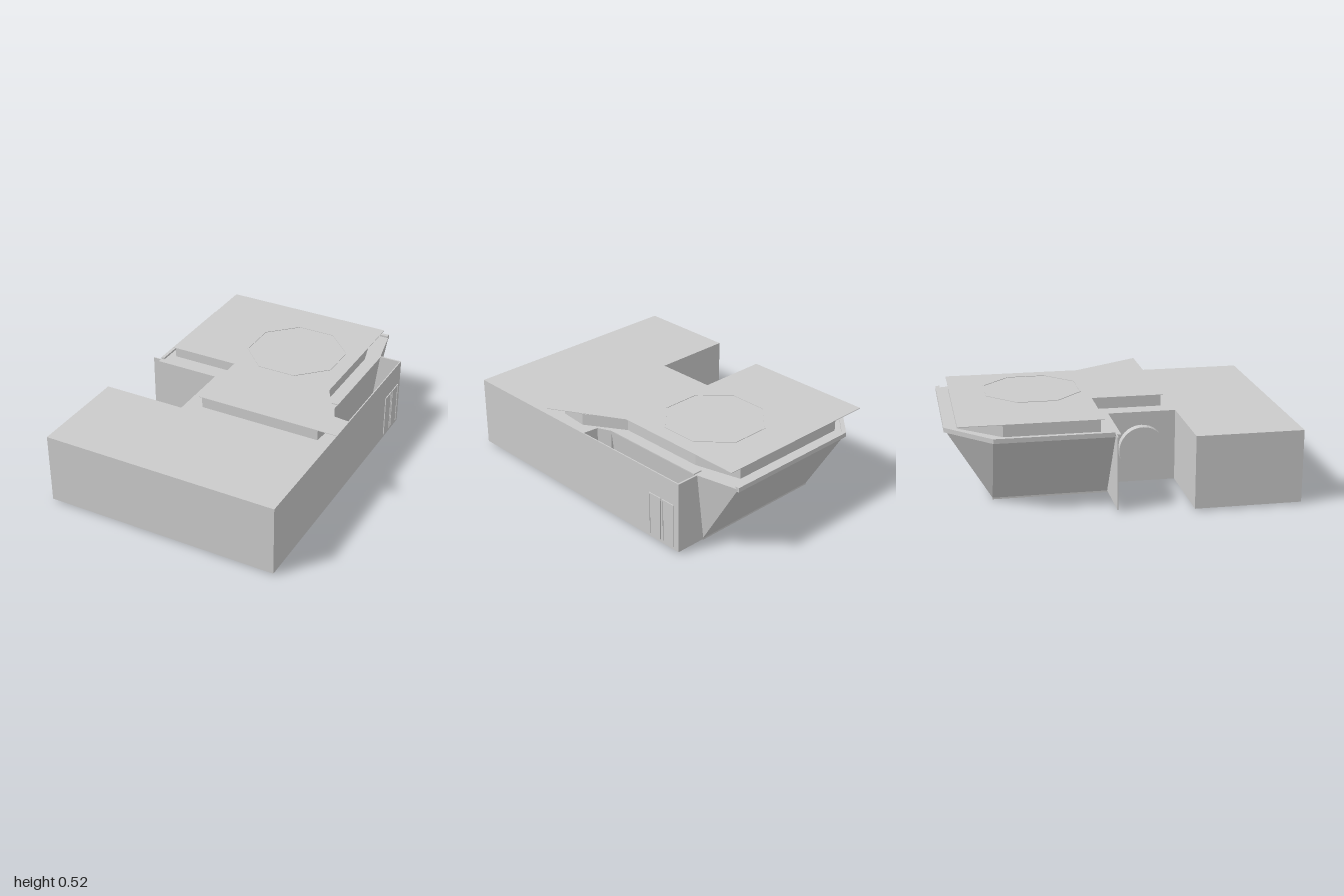
import * as THREE from 'three';

const mat = new THREE.MeshStandardMaterial({ color: 0xcccccc, flatShading: true, side: THREE.DoubleSide });

export function createModel() {
  const root = new THREE.Group();
  const add = (name, geo) => {
    const m = new THREE.Mesh(geo, mat);
    m.name = name;
    root.add(m);
    return m;
  };
  // box given by its min and max on each axis
  const box = (name, x0, x1, y0, y1, z0, z1) =>
    add(name, new THREE.BoxGeometry(x1 - x0, y1 - y0, z1 - z0)
      .translate((x0 + x1) / 2, (y0 + y1) / 2, (z0 + z1) / 2));
  // plan outline [x, z] raised from y0 to y1
  const planShape = pts => new THREE.Shape(pts.map(([x, z]) => new THREE.Vector2(x, -z)));
  const slab = (name, pts, y0, y1, hole) => {
    const s = planShape(pts);
    if (hole) s.holes.push(planShape(hole));
    return add(name, new THREE.ExtrudeGeometry(s, { depth: y1 - y0, bevelEnabled: false })
      .rotateX(-Math.PI / 2).translate(0, y0, 0));
  };

  // main L-shaped block
  slab('mainBlock', [[-0.74, 1], [0.70, 1], [0.70, 0.05], [0.60, 0.04], [0.565, -0.04],
    [-0.20, -0.04], [-0.20, 0.375], [-0.74, 0.375]], 0.01, 0.44);

  // rear room, flaring outwards to the top with a chamfered corner
  const bottom = [[-0.36, -0.04], [-0.36, -0.73], [-0.36, -0.73], [0.51, -0.73], [0.51, -0.73], [0.51, -0.04]];
  const top = [[-0.63, -0.04], [-0.63, -0.74], [-0.37, -0.99], [0.51, -0.99], [0.565, -0.72], [0.565, -0.04]];
  const B = bottom.map(([x, z]) => new THREE.Vector3(x, 0.01, z));
  const T = top.map(([x, z]) => new THREE.Vector3(x, 0.44, z));
  const tris = [];
  for (let i = 0; i < 6; i++) {
    const j = (i + 1) % 6;
    tris.push(B[i], T[i], T[j], B[i], T[j], B[j]);
    if (i > 0 && i < 5) tris.push(T[0], T[i + 1], T[i], B[0], B[i], B[i + 1]);
  }
  const roomGeo = new THREE.BufferGeometry().setFromPoints(tris);
  roomGeo.computeVertexNormals();
  add('flaredRoom', roomGeo);
  slab('floorPlate', [[-0.36, -0.05], [0.51, -0.05], [0.51, -0.73], [-0.36, -0.73]], 0, 0.01);

  // lip around the top of the flared room
  slab('roomLip', [[-0.63, -0.06], [-0.63, -0.74], [-0.37, -0.995], [0.51, -0.995], [0.51, -0.97],
    [-0.36, -0.97], [-0.61, -0.73], [-0.61, -0.06]], 0.425, 0.452);

  // rounded outline, scaled about its centre
  const rounded = (P, scale, Kind) => {
    const c = P.reduce((a, p) => a.add(p), new THREE.Vector2()).divideScalar(P.length);
    const Q = P.map(p => p.clone().sub(c).multiplyScalar(scale).add(c));
    const s = new Kind();
    Q.forEach((q, i) => {
      const a = q.clone().lerp(Q[(i + Q.length - 1) % Q.length], 0.08);
      const b = q.clone().lerp(Q[(i + 1) % Q.length], 0.08);
      if (i) s.lineTo(a.x, a.y); else s.moveTo(a.x, a.y);
      s.quadraticCurveTo(q.x, q.y, b.x, b.y);
    });
    s.closePath();
    return s;
  };
  // raised window panel and frame on a sloping wall (corners run around it)
  const slopedWindow = (name, corners) => {
    const u = corners[1].clone().sub(corners[0]).normalize();
    const n = u.clone().cross(corners[2].clone().sub(corners[0])).normalize();
    const v = n.clone().cross(u);
    const P = corners.map(p => {
      const d = p.clone().sub(corners[0]);
      return new THREE.Vector2(d.dot(u), d.dot(v));
    });
    const M = new THREE.Matrix4().makeBasis(u, v, n).setPosition(corners[0]);
    const put = (part, outer, inner, depth) => {
      const s = rounded(P, outer, THREE.Shape);
      if (inner) s.holes.push(rounded(P, inner, THREE.Path));
      add(name + part, new THREE.ExtrudeGeometry(s, { depth, bevelEnabled: false, curveSegments: 4 }).applyMatrix4(M));
    };
    put('Panel', 0.86, 0, 0.012);
    put('Frame', 0.8, 0.73, 0.026);
  };
  slopedWindow('rearWindow', [T[3], T[2], B[2], B[3]]);
  slopedWindow('cornerWindow', [T[2], T[1], B[1]]);
  slopedWindow('sideWindow', [T[1], T[0], B[0], B[1]]);

  // raised roof core and thin overhanging roof plate
  slab('roofCore', [[-0.565, -0.13], [-0.565, -0.68], [-0.36, -0.92], [0.42, -0.92], [0.49, -0.65], [0.49, -0.10],
    [0.635, 0.13], [0.62, 0.31], [-0.125, 0.31], [-0.125, -0.13]], 0.44, 0.51);
  slab('roofPlate', [[-0.57, -0.11], [-0.57, -0.93], [0.50, -0.93], [0.50, -0.10],
    [0.74, 0.32], [-0.14, 0.32], [-0.14, -0.11]], 0.51, 0.513);

  // octagonal outline on the roof
  const octagon = r => Array.from({ length: 8 }, (_, i) => {
    const a = (i + 0.5) * Math.PI / 4;
    return [0.125 + r * Math.cos(a), -0.435 + r * Math.sin(a)];
  });
  slab('roofHatchRim', octagon(0.308), 0.512, 0.516, octagon(0.3));

  // open alcove between the room and the outer side wall
  box('alcoveFloor', 0.51, 0.70, 0.01, 0.016, -0.73, 0.05);
  box('alcoveEndWall', 0.51, 0.70, 0.01, 0.44, -0.735, -0.725);
  box('outerSideWall', 0.693, 0.70, 0.01, 0.44, -0.735, 0.06);
  box('alcoveRail', 0.515, 0.57, 0.44, 0.446, -0.72, -0.08);

  // double doors on the outer side wall
  for (const z of [-0.55, -0.655]) {
    const w = 0.042;
    for (const s of [-1, 1]) box('doorJamb', 0.70, 0.706, 0.03, 0.295, z + s * w - 0.004, z + s * w + 0.004);
    box('doorHead', 0.70, 0.706, 0.287, 0.295, z - w, z + w);
    box('doorLeaf', 0.70, 0.702, 0.03, 0.29, z - w, z + w);
  }

  // thin wing wall closing the side of the room
  box('wingWall', -0.68, -0.20, 0.01, 0.44, -0.058, -0.052);
  box('roomFrontTrim', -0.63, -0.20, 0.425, 0.44, -0.05, -0.028);

  // recessed entry with a round fitting
  box('entryPanel', -0.23, -0.20, 0.01, 0.44, -0.03, 0.375);
  add('roundFitting', new THREE.CylinderGeometry(0.14, 0.14, 0.08, 32)
    .rotateZ(Math.PI / 2).translate(-0.24, 0.22, 0.17));

  return root;
}
